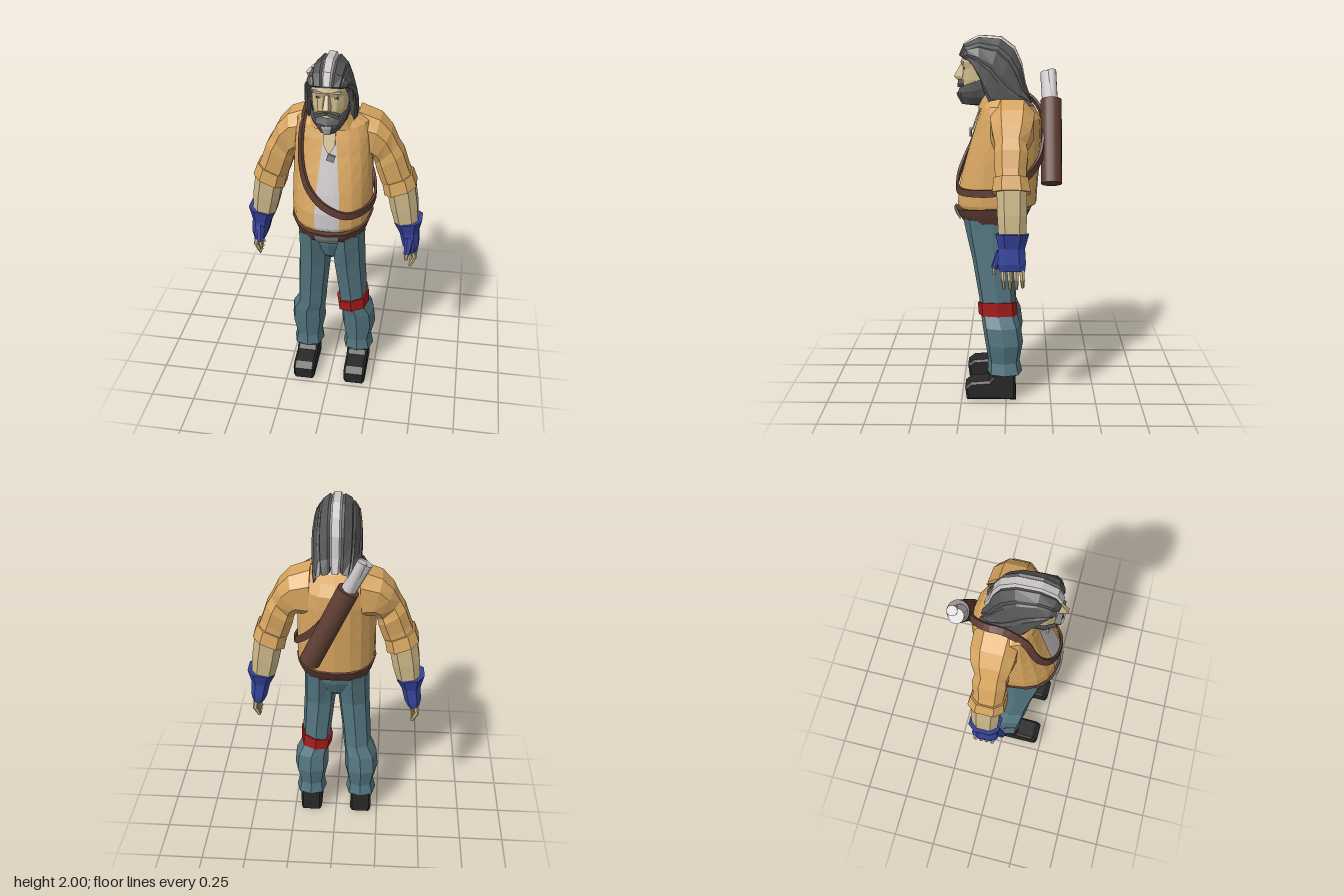
import * as THREE from 'three';

const V = (x, y, z) => new THREE.Vector3(x, y, z);
const paint = (name, color) => {
  const m = new THREE.MeshStandardMaterial({ color, side: THREE.DoubleSide });
  m.name = name;
  return m;
};

export function createModel() {
  const jacketTan = paint('jacket tan', 0xd8a660), skin = paint('skin', 0xcdb98a);
  const white = paint('off white', 0xc9c4c5), hairGrey = paint('hair grey', 0x565656);
  const denim = paint('denim', 0x547680), brown = paint('leather brown', 0x5e3d32);
  const red = paint('red', 0xa51b1b), blue = paint('blue', 0x36449c);
  const black = paint('boot black', 0x282828), metal = paint('metal grey', 0x8a8c8c);

  const model = new THREE.Group();
  model.name = 'figure';
  const group = (name, parent = model) => {
    const g = new THREE.Group();
    g.name = name;
    parent.add(g);
    return g;
  };
  const add = (parent, name, geo, mat) => {
    const m = new THREE.Mesh(geo, mat);
    m.name = name;
    parent.add(m);
    return m;
  };

  // Faceted skin over rings of points, turned so that it faces outward
  const loft = (parent, name, mat, rings, closed = true) => {
    const tris = [], n = rings[0].length, last = closed ? n : n - 1;
    for (let k = 0; k < rings.length - 1; k++)
      for (let i = 0; i < last; i++) {
        const j = (i + 1) % n, a = rings[k], b = rings[k + 1];
        tris.push([a[i], a[j], b[j]], [a[i], b[j], b[i]]);
      }
    const centre = pts => pts.reduce((s, p) => s.add(p), V(0, 0, 0)).divideScalar(pts.length);
    if (closed) {
      const first = rings[0], end = rings[rings.length - 1], c0 = centre(first), c1 = centre(end);
      for (let i = 0; i < n; i++) {
        const j = (i + 1) % n;
        tris.push([c0, first[j], first[i]], [c1, end[i], end[j]]);
      }
    }
    const ref = centre(rings.flat());
    ref.z -= 0.1;
    let volume = 0;
    for (const [a, b, c] of tris)
      volume += a.clone().sub(ref).dot(b.clone().sub(ref).cross(c.clone().sub(ref)));
    const pos = tris.flatMap(t => (volume < 0 ? [t[0], t[2], t[1]] : t).flatMap(p => p.toArray()));
    const geo = new THREE.BufferGeometry();
    geo.setAttribute('position', new THREE.Float32BufferAttribute(pos, 3));
    geo.computeVertexNormals();
    return add(parent, name, geo, mat);
  };

  const pow = (v, p) => Math.sign(v) * Math.abs(v) ** p;
  // Level section: separate front and back depth; dip lowers the front
  const level = (y, rx, zf, zb, { c = 0.03, dip = 0, from = 0, to = Math.PI * 2, n = 16, out = 0 } = {}) => {
    const full = to - from > 6.28, pts = [];
    for (let i = 0; i < (full ? n : n + 1); i++) {
      const a = from + (to - from) * i / n, s = pow(Math.sin(a), 0.85), k = pow(Math.cos(a), 0.85);
      pts.push(V((rx + out) * s, y - dip * k * k, c + k * (k > 0 ? zf + out - c : c - zb + out)));
    }
    return pts;
  };
  const levels = (rows, o) => rows.map(r => level(...r, o));
  // Limb section: outer and inner edge in x,y plus front and back z; turn 0 puts a ridge at the front
  const limb = (s, rows, turn = 0.5, n = 8) => rows.map(([xo, yo, xi, yi, zf, zb]) =>
    Array.from({ length: n }, (_, i) => {
      const a = (i + turn) / n * Math.PI * 2, grow = 1 + turn * 0.11;
      const u = pow(Math.cos(a), 0.75) * grow, v = pow(Math.sin(a), 0.75) * grow;
      return V(s * ((xo + xi) / 2 + u * (xo - xi) / 2), (yo + yi) / 2 + u * (yo - yi) / 2,
        (zf + zb) / 2 + v * (zf - zb) / 2);
    }));
  // Straight rod between two points
  const rod = (parent, name, mat, a, b, ra, rb = ra, n = 6) => {
    const geo = new THREE.CylinderGeometry(rb, ra, a.distanceTo(b), n).toNonIndexed();
    if (n < 10) geo.computeVertexNormals();
    const m = add(parent, name, geo, mat);
    m.position.copy(a).lerp(b, 0.5);
    m.quaternion.setFromUnitVectors(V(0, 1, 0), b.clone().sub(a).normalize());
    return m;
  };
  const box = (parent, name, mat, size, at, rz = 0) => {
    const m = add(parent, name, new THREE.BoxGeometry(...size), mat);
    m.position.set(...at);
    m.rotation.z = rz;
    return m;
  };

  // Torso: jacket whose opening narrows upward, shirt panel, collar, belt
  const torso = group('torso');
  const body = [[1.095, 0.206, 0.262, -0.12], [1.115, 0.212, 0.27, -0.165], [1.2, 0.215, 0.265, -0.17], [1.3, 0.213, 0.24, -0.178],
    [1.4, 0.21, 0.21, -0.185], [1.5, 0.205, 0.178, -0.19], [1.58, 0.2, 0.155, -0.185], [1.64, 0.185, 0.135, -0.15],
    [1.675, 0.13, 0.125, -0.09], [1.665, 0.06, 0.12, 0.02]];
  const opening = y => 0.25 - 0.15 * Math.max(0, (y - 1.25) / 0.4);
  loft(torso, 'jacket', jacketTan, body.map(r =>
    level(...r, { from: opening(r[0]), to: Math.PI * 2 - opening(r[0]), dip: 0.015, n: 18 })), false);
  loft(torso, 'shirt', white, body.map(r =>
    level(...r, { from: -opening(r[0]) - 0.03, to: opening(r[0]) + 0.03, n: 4, out: -0.004, dip: 0.015 })), false);
  loft(torso, 'collar', jacketTan, levels([[1.62, 0.14, 0.155, -0.13], [1.695, 0.118, 0.145, -0.07],
    [1.67, 0.09, 0.12, -0.04]], { from: 0.3, to: Math.PI * 2 - 0.3 }), false);
  const beltRows = [[1.105, 0.216, 0.276, -0.135, 0.035], [1.06, 0.202, 0.264, -0.12, 0.02], [1.008, 0.18, 0.243, -0.1, 0]];
  const beltRings = o => beltRows.map(([y, rx, zf, zb, dip]) => level(y, rx, zf, zb, { ...o, dip }));
  loft(torso, 'belt', brown, beltRings({ out: 0.004 }));
  loft(torso, 'buckle', metal, beltRings({ from: -0.24, to: 0.24, n: 2, out: 0.014 }), false);
  loft(torso, 'hips', denim, levels([[1.05, 0.178, 0.233, -0.09], [0.96, 0.168, 0.212, -0.075],
    [0.88, 0.09, 0.185, -0.04], [0.83, 0.03, 0.13, 0.02]], { n: 12 }));

  // Open neckline and pendant
  const neckline = new THREE.Shape([[0, 0], [0.03, 0.05], [0.03, 0.15], [-0.03, 0.15], [-0.03, 0.05]].map(p => new THREE.Vector2(...p)));
  const chest = add(torso, 'bareChest', new THREE.ExtrudeGeometry(neckline, { depth: 0.008, bevelEnabled: false }), skin);
  chest.position.set(0, 1.495, 0.181);
  chest.rotation.x = -0.34;
  box(torso, 'pendant', metal, [0.04, 0.035, 0.012], [0.012, 1.485, 0.193], -0.3);

  // Legs, boots and arms
  for (const s of [1, -1]) {
    const side = s > 0 ? 'left' : 'right';
    const leg = group(side + 'Leg');
    loft(leg, 'trouserLeg', denim, limb(s, [[0.182, 1.03, 0, 1.03, 0.235, -0.09], [0.182, 0.95, 0, 0.95, 0.22, -0.075],
      [0.187, 0.8, 0.008, 0.8, 0.187, -0.045], [0.198, 0.58, 0.033, 0.58, 0.15, -0.05], [0.2, 0.5, 0.04, 0.49, 0.142, -0.055],
      [0.238, 0.43, 0.05, 0.43, 0.132, -0.08], [0.247, 0.33, 0.05, 0.33, 0.117, -0.094],
      [0.222, 0.22, 0.072, 0.22, 0.1, -0.075], [0.238, 0.155, 0.06, 0.155, 0.105, -0.09]], 0));
    if (s > 0) loft(leg, 'redBand', red, limb(s, [[0.208, 0.575, 0.024, 0.525, 0.158, -0.058], [0.21, 0.495, 0.03, 0.468, 0.153, -0.064]], 0));
    const sole = new THREE.Shape([[-0.043, 0.012], [0.21, 0.012], [0.217, 0.07], [0.19, 0.092], [0.09, 0.1], [0.062, 0.13], [0.06, 0.16], [-0.04, 0.16]].map(p => new THREE.Vector2(...p)));
    const boot = add(leg, 'boot', new THREE.ExtrudeGeometry(sole, { depth: 0.1, bevelThickness: 0.012, bevelSize: 0.012, bevelSegments: 1 }), black);
    boot.rotation.y = -Math.PI / 2;
    boot.position.x = s > 0 ? 0.2 : -0.1;

    const arm = group(side + 'Arm');
    loft(arm, 'sleeve', jacketTan, limb(s, [[0.13, 1.675, 0.13, 1.4, 0.085, -0.15], [0.24, 1.635, 0.19, 1.42, 0.08, -0.145],
      [0.3, 1.57, 0.21, 1.41, 0.07, -0.13], [0.335, 1.5, 0.22, 1.38, 0.055, -0.105], [0.365, 1.45, 0.225, 1.355, 0.06, -0.115],
      [0.395, 1.36, 0.25, 1.28, 0.055, -0.105], [0.425, 1.29, 0.275, 1.22, 0.05, -0.105]]));
    loft(arm, 'sleeveCuff', jacketTan, limb(s, [[0.418, 1.33, 0.262, 1.26, 0.06, -0.115], [0.443, 1.26, 0.275, 1.19, 0.068, -0.128]]));
    loft(arm, 'forearm', skin, limb(s, [[0.435, 1.26, 0.29, 1.2, 0.045, -0.11], [0.455, 1.13, 0.31, 1.1, 0.042, -0.11], [0.463, 1.02, 0.335, 1.01, 0.035, -0.105]]));
    loft(arm, 'glove', blue, limb(s, [[0.485, 1.04, 0.335, 1.01, 0.05, -0.12], [0.468, 0.96, 0.365, 0.95, 0.035, -0.1],
      [0.475, 0.88, 0.385, 0.87, 0.04, -0.105], [0.468, 0.84, 0.405, 0.83, 0.03, -0.1]]));
    rod(arm, 'gloveThumb', blue, V(s * 0.42, 0.93, 0.02), V(s * 0.415, 0.845, 0.058), 0.028, 0.018);
    rod(arm, 'thumbTip', skin, V(s * 0.415, 0.85, 0.055), V(s * 0.41, 0.81, 0.06), 0.014, 0.009);
    for (let i = 0; i < 4; i++) {
      const z = 0.012 - i * 0.032, drop = i === 3 ? 0.01 : 0;
      rod(arm, 'fingerBase', skin, V(s * 0.445, 0.85, z), V(s * 0.455, 0.79, z - 0.003), 0.015, 0.013);
      rod(arm, 'fingerTip', skin, V(s * 0.455, 0.795, z - 0.003), V(s * 0.43, 0.735 + drop, z - 0.005), 0.013, 0.008);
    }
  }

  // Head and face
  const head = group('head');
  rod(head, 'neck', skin, V(0, 1.58, 0.05), V(0, 1.73, 0.1), 0.075, 0.065, 8);
  loft(head, 'face', skin, levels([[1.645, 0.05, 0.21, 0.06], [1.7, 0.08, 0.238, 0], [1.77, 0.094, 0.24, -0.04],
    [1.83, 0.097, 0.232, -0.05], [1.86, 0.098, 0.243, -0.05], [1.91, 0.092, 0.225, -0.03], [1.95, 0.06, 0.19, 0.02]], { c: 0.1, n: 14 }));
  loft(head, 'nose', skin, [[1.85, 0.014, 0.242], [1.785, 0.026, 0.28], [1.768, 0.022, 0.262]].map(([y, w, z]) =>
    [V(-w, y, 0.22), V(-w * 0.5, y, z), V(w * 0.5, y, z), V(w, y, 0.22)]));
  const beardRows = [[1.63, 0.025, 0.17, 0], [1.638, 0.058, 0.235, 0], [1.68, 0.088, 0.258, 0], [1.73, 0.1, 0.262, 0], [1.79, 0.102, 0.246, 0]];
  const beardCut = (from, to, out) => levels(beardRows, { c: 0.1, from, to, n: 6, out }).map((ring, k) => {
    if (k > 2) ring.forEach(p => { p.y -= (k - 2) * 0.032 * Math.max(0, (p.z - 0.1) / 0.16); });
    return ring;
  });
  loft(head, 'beard', hairGrey, beardCut(-1.6, 1.6, 0), false);
  loft(head, 'beardStreak', white, beardCut(-0.22, 0.22, 0.005).slice(0, 4), false);
  for (const s of [1, -1]) {
    box(head, 'moustache', hairGrey, [0.06, 0.017, 0.03], [s * 0.032, 1.75, 0.242], -s * 0.3);
    box(head, 'eyebrow', white, [0.045, 0.009, 0.014], [s * 0.046, 1.86, 0.232], s * 0.15);
    box(head, 'eye', hairGrey, [0.022, 0.007, 0.008], [s * 0.044, 1.828, 0.222]);
  }

  // Swept-back hair: locks between a crown path and a side path (z, y, half width)
  const crown = [[0.235, 1.885], [0.212, 1.945], [0.14, 1.982], [0.03, 1.975], [-0.035, 1.925], [-0.066, 1.85], [-0.085, 1.75], [-0.112, 1.68]];
  const temple = [[0.205, 1.88, 0.09], [0.175, 1.86, 0.106], [0.135, 1.815, 0.112], [0.1, 1.76, 0.115],
    [0.07, 1.71, 0.117], [0.02, 1.68, 0.116], [-0.05, 1.665, 0.112], [-0.135, 1.645, 0.1]];
  const scalp = V(0, 1.78, 0.08);
  const hairPoint = (k, phi, lift) => {
    const [zt, yt] = crown[k], [zs, ys, w] = temple[k], c = Math.cos(phi);
    const p = V(w * Math.sin(phi), ys + (yt - ys) * c, zs + (zt - zs) * c);
    return p.add(p.clone().sub(scalp).normalize().multiplyScalar(lift));
  };
  const hair = group('hair');
  const lock = (name, mat, mid, half, lift) => loft(hair, name, mat, crown.map((_, k) => {
    const t = half * (k === crown.length - 1 ? 0.85 : 1);
    return [[-1, -0.022], [-1, 0.005], [-0.6, lift], [0.6, lift], [1, 0.005], [1, -0.022]].map(([u, h]) => hairPoint(k, mid + u * t, h));
  }));
  lock('whiteStreak', white, 0, 0.25, 0.02);
  for (const s of [1, -1])
    for (let i = 0; i < 3; i++) lock('hairLock', hairGrey, s * (0.5 + i * 0.5), 0.28, 0.018 - (i % 2) * 0.004);

  // Scroll case with rolled papers
  const scrollCase = group('scrollCase');
  rod(scrollCase, 'caseTube', brown, V(0.123, 1.225, -0.243), V(-0.075, 1.65, -0.243), 0.057, 0.057, 16);
  rod(scrollCase, 'largeScroll', white, V(-0.06, 1.62, -0.235), V(-0.155, 1.79, -0.222), 0.04, 0.038, 12);
  rod(scrollCase, 'smallScroll', white, V(-0.06, 1.62, -0.25), V(-0.14, 1.805, -0.245), 0.03, 0.026, 12);

  // Flat shoulder strap, a ribbon wrapped around the body
  const strapPath = new THREE.CatmullRomCurve3([[-0.14, 1.695, 0], [-0.148, 1.62, 0.11], [-0.15, 1.5, 0.155], [-0.138, 1.41, 0.187],
    [-0.1, 1.32, 0.232], [-0.02, 1.24, 0.264], [0.1, 1.185, 0.256], [0.192, 1.185, 0.168], [0.226, 1.2, 0.04],
    [0.2, 1.26, -0.09], [0.12, 1.36, -0.18], [-0.02, 1.53, -0.198], [-0.09, 1.63, -0.165], [-0.135, 1.685, -0.085]].map(p => V(...p)), true);
  const strapRings = Array.from({ length: 57 }, (_, i) => {
    const u = (i % 56) / 56, p = strapPath.getPointAt(u), t = strapPath.getTangentAt(u);
    const across = t.clone().cross(V(p.x, p.y - Math.min(p.y, 1.55), p.z - 0.03)).normalize();
    const outward = across.clone().cross(t);
    return [[1, 1], [1, -1], [-1, -1], [-1, 1]].map(([a, b]) =>
      p.clone().addScaledVector(across, a * 0.019).addScaledVector(outward, b * 0.007));
  });
  loft(scrollCase, 'strap', brown, strapRings);

  return model;
}
